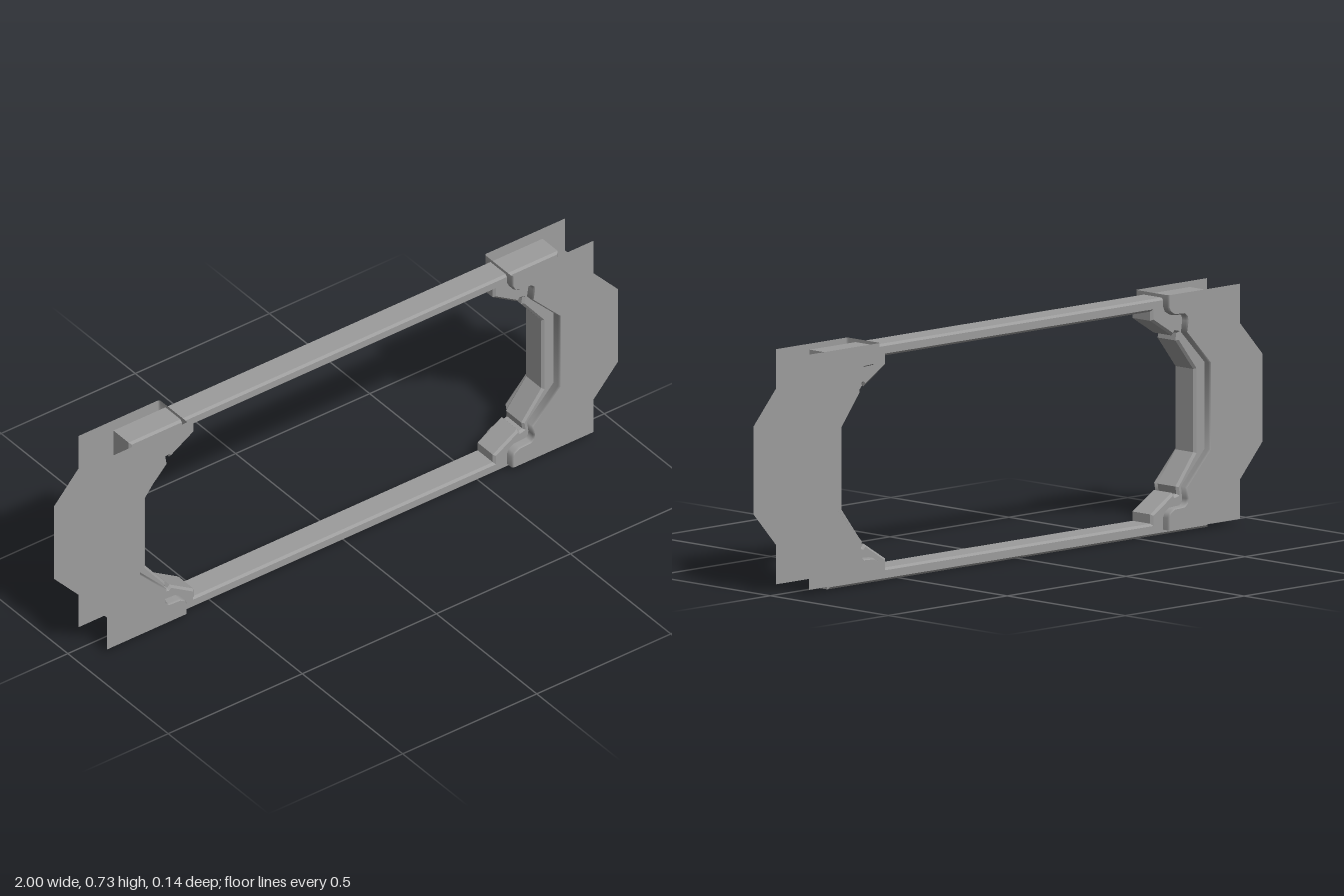
import * as THREE from 'three';

const material = new THREE.MeshStandardMaterial({ color: 0x9c9c9c, side: THREE.DoubleSide });

// Complete an upper-half outline by reflecting it about a height.
const mirrorY = (pts, mid) => [...pts, ...pts.map(([x, y]) => [x, 2 * mid - y]).reverse()];
const toVectors = (pts, side = 1) => pts.map(([x, y]) => new THREE.Vector2(x * side, y));

const PLATE_MID = 0.371, CORE_MID = 0.359;
const PLATE_Z = 0.07, CORE_FRONT = 0.042, CORE_BACK = -0.047;

// Stepped inner edge and angular outer edge of a side plate (+x half).
const plateInner = mirrorY([
  [0.61, 0.727], [0.61, 0.69], [0.616, 0.677], [0.633, 0.667], [0.675, 0.665],
  [0.687, 0.655], [0.69, 0.64], [0.684, 0.607], [0.784, 0.503],
], PLATE_MID);
const plateOuter = mirrorY([[0.907, 0.727], [0.907, 0.607], [1, 0.505]], PLATE_MID);

// Opening in the core frame, with a wedge block in each corner (+x half).
const opening = mirrorY([
  [0.558, 0.68], [0.558, 0.652], [0.648, 0.597], [0.656, 0.606], [0.668, 0.603],
  [0.664, 0.58], [0.739, 0.485],
], CORE_MID);

// Shift an open path sideways along its averaged normals.
function offsetPath(pts, d) {
  return pts.map(([x, y], i) => {
    const a = pts[Math.max(i - 1, 0)], b = pts[Math.min(i + 1, pts.length - 1)];
    const dx = b[0] - a[0], dy = b[1] - a[1], l = Math.hypot(dx, dy);
    const end = i === 0 || i === pts.length - 1;
    return [x + (d * dy) / l, end ? y : y - (d * dx) / l];
  });
}

// Smooth strip joining rows of equal length; each row has its own depth.
function ribbon(rows, side) {
  const pos = [], index = [], n = rows[0].pts.length;
  for (const { pts, z } of rows) for (const [x, y] of pts) pos.push(x * side, y, z);
  for (let r = 0; r < rows.length - 1; r++) {
    for (let i = 0; i < n - 1; i++) {
      const a = r * n + i, b = a + n;
      // Wind so the faces look into the opening on both sides
      if (side > 0) index.push(a, a + 1, b, a + 1, b + 1, b);
      else index.push(a, b, a + 1, a + 1, b, b + 1);
    }
  }
  const g = new THREE.BufferGeometry();
  g.setAttribute('position', new THREE.Float32BufferAttribute(pos, 3));
  g.setIndex(index);
  g.computeVertexNormals();
  return g;
}

function addMesh(parent, name, geometry) {
  const mesh = new THREE.Mesh(geometry, material);
  mesh.name = name;
  parent.add(mesh);
}

export function createModel() {
  const group = new THREE.Group();
  group.name = 'doorFrame';

  // Chamfered core: rectangle pierced by the notched octagonal opening
  const core = new THREE.Shape(toVectors([[-0.8, 0], [0.8, 0], [0.8, 0.717], [-0.8, 0.717]]));
  core.holes.push(new THREE.Path([...toVectors(opening), ...toVectors(opening, -1).reverse()]));
  const bevel = 0.007;
  const coreGeometry = new THREE.ExtrudeGeometry(core, {
    depth: CORE_FRONT - CORE_BACK - 2 * bevel,
    bevelThickness: bevel, bevelSize: bevel, bevelOffset: -bevel, bevelSegments: 1,
  });
  coreGeometry.translate(0, 0, CORE_BACK + bevel);
  addMesh(group, 'coreFrame', coreGeometry);

  const lip = offsetPath(plateInner, 0.004);
  for (const side of [1, -1]) {
    const label = side > 0 ? 'left' : 'right';

    // Thin side plates, front and back
    const outline = toVectors([...plateInner, ...[...plateOuter].reverse()], side);
    for (const face of [1, -1]) {
      const plate = new THREE.ShapeGeometry(new THREE.Shape(outline));
      plate.translate(0, 0, face * PLATE_Z);
      addMesh(group, label + (face > 0 ? 'Front' : 'Back') + 'Plate', plate);
    }

    // Lining that runs from plate to plate, with softened edges
    addMesh(group, label + 'Lining', ribbon([
      { pts: plateInner, z: PLATE_Z },
      { pts: lip, z: PLATE_Z - 0.006 },
      { pts: lip, z: 0.006 - PLATE_Z },
      { pts: plateInner, z: -PLATE_Z },
    ], side));
  }
  return group;
}
